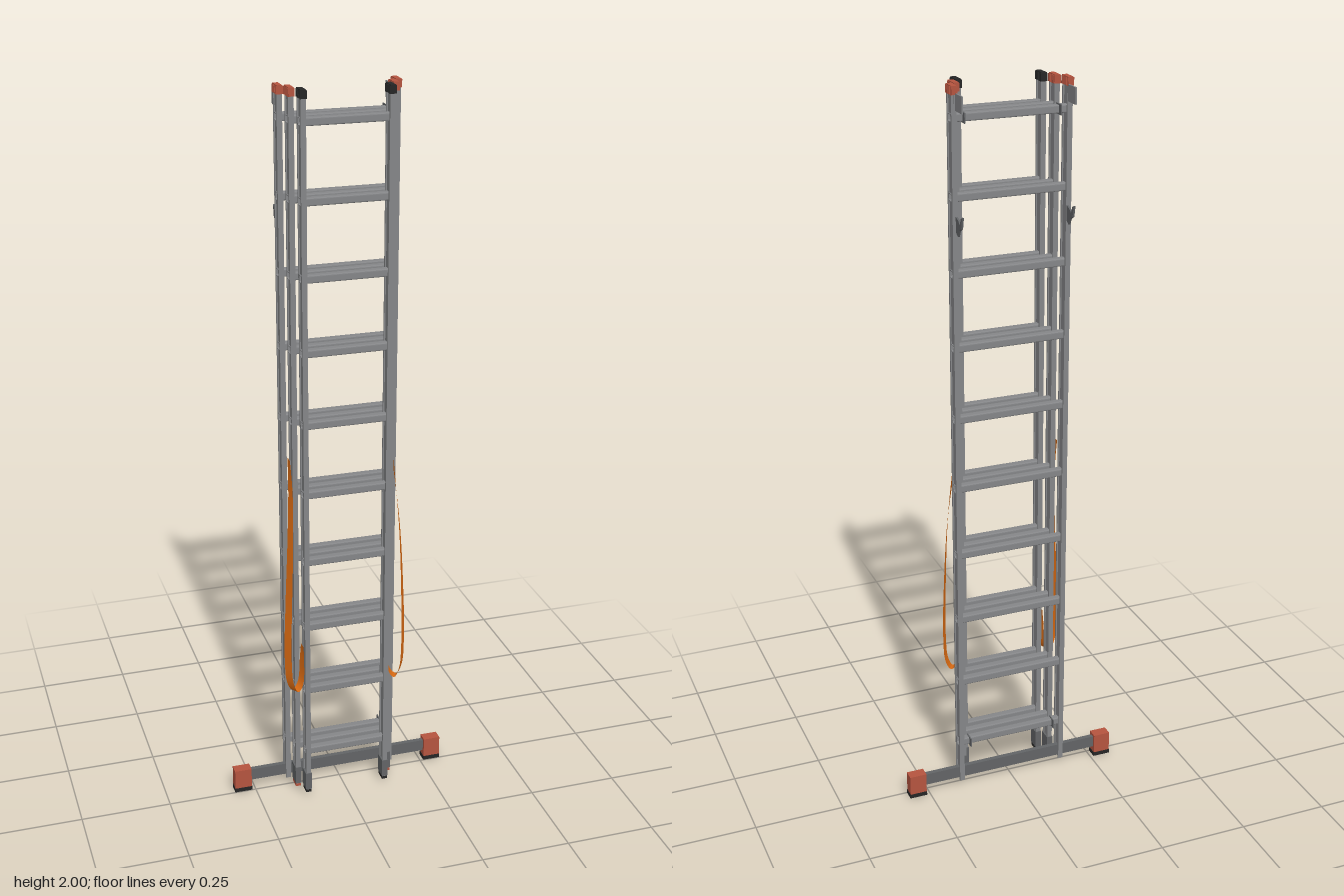
import * as THREE from 'three';

const mat = (name, color, side = THREE.FrontSide) => {
  const m = new THREE.MeshStandardMaterial({ color, side });
  m.name = name;
  return m;
};

export function createModel() {
  const root = new THREE.Group();
  root.name = 'extensionLadder';
  const alu = mat('aluminium', 0x858688);
  const steel = mat('darkSteel', 0x626466);
  const red = mat('redPlastic', 0xb5543f);
  const black = mat('blackRubber', 0x262626);
  const orange = mat('orangeStrap', 0xd96a12, THREE.DoubleSide);

  const add = (parent, name, geo, material, x = 0, y = 0, z = 0) => {
    const m = new THREE.Mesh(geo, material);
    m.name = name;
    m.position.set(x, y, z);
    parent.add(m);
    return m;
  };
  const box = (parent, name, material, w, h, d, x, y, z) =>
    add(parent, name, new THREE.BoxGeometry(w, h, d), material, x, y, z);

  // Extrude a shape drawn in (z, y) along x, centred on x = 0
  const extrudeX = (shape, length) => {
    const g = new THREE.ExtrudeGeometry(shape, { depth: length, bevelEnabled: false, curveSegments: 4 });
    g.translate(0, 0, -length / 2);
    g.rotateY(-Math.PI / 2);
    return g;
  };
  // Rounded square outline centred on (cx, cy)
  const rounded = (target, cx, cy, r, c) => {
    target.moveTo(cx - r + c, cy - r);
    target.lineTo(cx + r - c, cy - r);
    target.quadraticCurveTo(cx + r, cy - r, cx + r, cy - r + c);
    target.lineTo(cx + r, cy + r - c);
    target.quadraticCurveTo(cx + r, cy + r, cx + r - c, cy + r);
    target.lineTo(cx - r + c, cy + r);
    target.quadraticCurveTo(cx - r, cy + r, cx - r, cy + r - c);
    target.lineTo(cx - r, cy - r + c);
    target.quadraticCurveTo(cx - r, cy - r, cx - r + c, cy - r);
    return target;
  };

  const rungYs = Array.from({ length: 10 }, (_, i) => 0.145 + i * 0.1972);
  const railD = 0.034, railW = 0.014, bottom = 0.022, top = 1.985;

  // Hollow rung
  const rungGeo = (length) => {
    const s = rounded(new THREE.Shape(), 0, 0, 0.0105, 0.004);
    s.holes.push(rounded(new THREE.Path(), 0, 0, 0.0085, 0.003));
    return extrudeX(s, length);
  };

  // Rail web pierced where the rungs pass through
  const web = new THREE.Shape();
  const h = railD / 2 - 0.001;
  web.moveTo(-h, bottom);
  web.lineTo(h, bottom);
  web.lineTo(h, top);
  web.lineTo(-h, top);
  web.closePath();
  rungYs.forEach((y) => web.holes.push(rounded(new THREE.Path(), 0, y, 0.0098, 0.004)));
  const webGeo = extrudeX(web, 0.007);

  // Three nested sections, back to front
  const sections = [
    { name: 'backSection', x: 0.1525, z: -0.015, cap: red },
    { name: 'middleSection', x: 0.1335, z: 0.0225, cap: red },
    { name: 'frontSection', x: 0.1135, z: 0.06, cap: black },
  ];
  sections.forEach(({ name, x, z, cap }, i) => {
    const g = new THREE.Group();
    g.name = name;
    g.position.z = z;
    root.add(g);
    const rung = rungGeo(2 * x + 0.013);
    rungYs.forEach((y) => add(g, 'rung', rung, alu, 0, y, 0));
    for (const s of [1, -1]) {
      add(g, 'railWeb', webGeo, alu, s * x);
      for (const f of [1, -1])
        box(g, 'railFlange', alu, railW, top - bottom, 0.005, s * x, (top + bottom) / 2, f * (railD / 2 - 0.0025));
      // Ribbed top cap
      box(g, 'topCap', cap, railW, 0.022, 0.039, s * x, 1.988, 0);
      for (let k = -2; k <= 2; k++)
        box(g, 'capRib', cap, railW + 0.004, 0.02, 0.004, s * x, 1.987, k * 0.0085);
      // Foot sleeve and sole
      if (i > 0) {
        box(g, 'footSleeve', steel, railW + 0.003, 0.052, 0.037, s * x, 0.05, 0);
        box(g, 'footSole', cap, railW + 0.001, 0.012, 0.032, s * x, 0.019, 0);
      }
    }
  });

  // Stabiliser bar with end feet
  const bar = new THREE.Group();
  bar.name = 'stabiliser';
  root.add(bar);
  box(bar, 'stabiliserBar', steel, 0.56, 0.034, 0.013, 0, 0.045, -0.016);
  for (const s of [1, -1]) {
    box(bar, 'stabiliserFoot', red, 0.048, 0.058, 0.03, s * 0.285, 0.04, -0.016);
    box(bar, 'stabiliserSole', black, 0.05, 0.012, 0.031, s * 0.285, 0.006, -0.016);
  }

  // Catch hook outline in (z, y); it reaches backwards and turns up
  const hook = new THREE.Shape();
  [[-0.03, -0.02], [-0.03, 0.018], [-0.05, 0.012], [-0.06, 0.004], [-0.068, 0.022],
    [-0.077, 0.026], [-0.07, -0.004], [-0.056, -0.012], [-0.046, -0.03]]
    .forEach(([a, b], i) => (i ? hook.lineTo(a, b) : hook.moveTo(a, b)));
  const hookGeo = extrudeX(hook, 0.005);

  // Hanging strap: a ribbon swept along a curve, its width turning on the way
  const path = new THREE.CatmullRomCurve3([
    [0.143, 1.02, 0.012], [0.146, 0.94, 0.036], [0.154, 0.8, 0.058], [0.162, 0.62, 0.064],
    [0.166, 0.45, 0.064], [0.16, 0.37, 0.064], [0.146, 0.343, 0.062], [0.13, 0.36, 0.056],
    [0.124, 0.44, 0.055], [0.123, 0.48, 0.055],
  ].map((p) => new THREE.Vector3(...p)));
  const strapGeo = (s) => {
    const n = 48, pos = [], idx = [];
    for (let i = 0; i <= n; i++) {
      const t = i / n, p = path.getPoint(t);
      const twist = 0.65 * Math.sin(Math.PI * t);
      const half = 0.012;
      for (const e of [-1, 1])
        pos.push(s * (p.x - e * half * Math.sin(twist)), p.y, p.z + e * half * Math.cos(twist));
      if (i < n) {
        const a = 2 * i;
        idx.push(a, a + 1, a + 2, a + 1, a + 3, a + 2);
      }
    }
    const g = new THREE.BufferGeometry();
    g.setAttribute('position', new THREE.Float32BufferAttribute(pos, 3));
    g.setIndex(idx);
    g.computeVertexNormals();
    return g;
  };

  for (const s of [1, -1]) {
    const side = s > 0 ? 'left' : 'right';
    // Top guide bracket
    box(root, side + 'TopBracket', alu, 0.004, 0.042, 0.048, s * 0.148, 1.96, -0.054);
    box(root, side + 'BracketLip', alu, 0.008, 0.042, 0.003, s * 0.15, 1.96, -0.032);
    add(root, side + 'CatchHook', hookGeo, steel, s * 0.149, 1.66, 0);
    // Inner guide plates
    for (const y of [0.145, 1.92])
      box(root, side + 'GuidePlate', steel, 0.003, 0.026, 0.032, s * 0.127, y, -0.022);
    add(root, side + 'Strap', strapGeo(s), orange);
  }
  return root;
}
